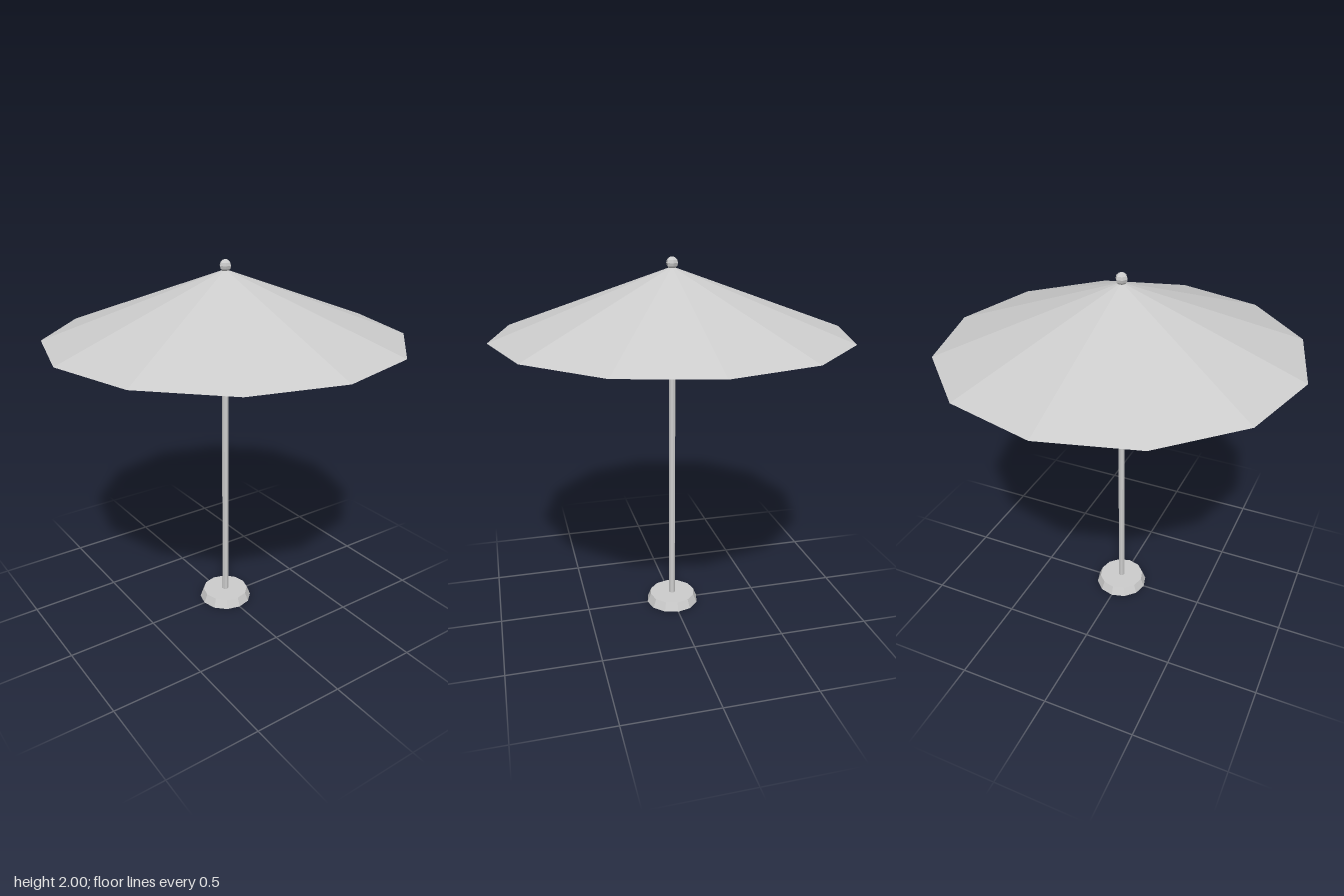
import * as THREE from 'three';

export function createModel() {
  const group = new THREE.Group();
  const grey = new THREE.MeshStandardMaterial({ color: 0xcccccc, flatShading: true, side: THREE.DoubleSide });
  grey.name = 'light grey';

  const add = (name, geometry, y) => {
    const mesh = new THREE.Mesh(geometry, grey);
    mesh.name = name;
    mesh.position.y = y;
    group.add(mesh);
  };

  // Weighted foot, a shallow tapered disc
  add('base', new THREE.CylinderGeometry(0.13, 0.15, 0.05, 12), 0.025);
  // Pole, ending just under the peak of the canopy
  add('pole', new THREE.CylinderGeometry(0.018, 0.018, 1.9, 8), 0.95);
  // Twelve-panel canopy, open underneath
  add('canopy', new THREE.ConeGeometry(0.95, 0.35, 12, 1, true), 1.775);
  // Faceted knob on the peak
  add('finial', new THREE.SphereGeometry(0.032, 6, 6), 1.968);

  return group;
}
